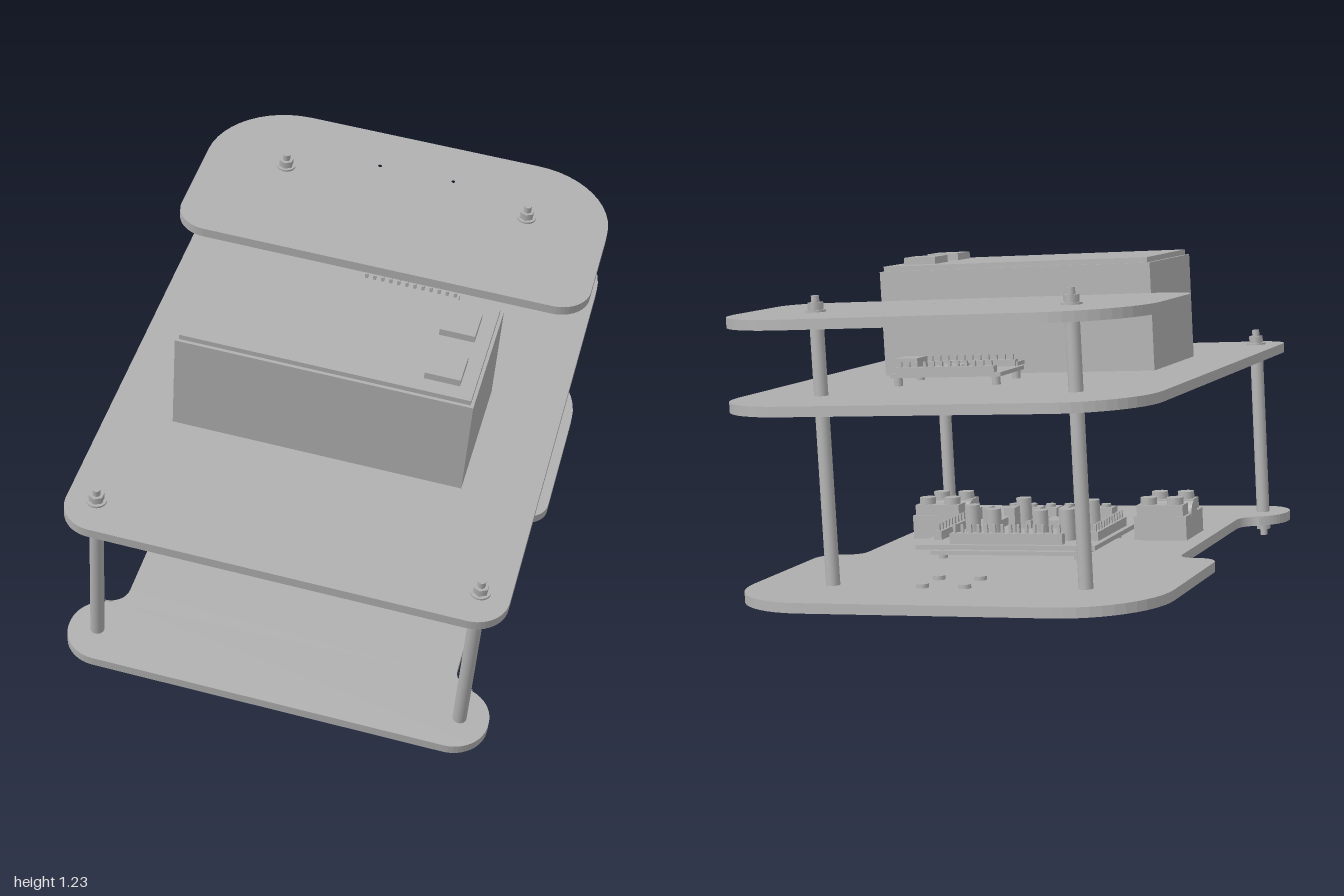
import * as THREE from 'three';
import { mergeGeometries } from 'three/addons/utils/BufferGeometryUtils.js';

const grey = new THREE.MeshStandardMaterial({ color: 0xb0b0b0 });
grey.name = 'light grey';

// Local frame: x across, y along the posts, z toward the front edge
const MID = -0.073, HALF = 0.647;
const DECK = { low: 0.2, mid: 0.757, top: 1.0 }, T = 0.03;

function add(parent, name, geometry, x = 0, y = 0, z = 0) {
  const mesh = new THREE.Mesh(geometry, grey);
  mesh.name = name;
  mesh.position.set(x, y, z);
  parent.add(mesh);
  return mesh;
}

// box or cylinder standing on height y
const box = (p, name, w, h, d, x, y, z) => add(p, name, new THREE.BoxGeometry(w, h, d), x, y + h / 2, z);
const rod = (p, name, r, h, x, y, z, sides = 20) => add(p, name, new THREE.CylinderGeometry(r, r, h, sides), x, y + h / 2, z);

// flat sheet from corners [x, z, radius], with round holes [x, z, radius]
function plate(parent, name, corners, y, holes = []) {
  const shape = new THREE.Shape(), n = corners.length;
  corners.forEach(([x, z, r], i) => {
    const c = new THREE.Vector2(x, -z);
    const to = (j) => new THREE.Vector2(corners[j][0], -corners[j][1]).sub(c).normalize();
    const d0 = to((i + n - 1) % n), d1 = to((i + 1) % n);
    const at = (d, s) => c.clone().addScaledVector(d, s);
    const a = at(d0, r), b = at(d1, r), k = r * 0.448;
    if (i) shape.lineTo(a.x, a.y); else shape.moveTo(a.x, a.y);
    const h0 = at(d0, k), h1 = at(d1, k);
    shape.bezierCurveTo(h0.x, h0.y, h1.x, h1.y, b.x, b.y);
  });
  shape.closePath();
  for (const [x, z, r] of holes) {
    const path = new THREE.Path();
    path.absarc(x, -z, r, 0, Math.PI * 2, true);
    shape.holes.push(path);
  }
  const g = new THREE.ExtrudeGeometry(shape, { depth: T, bevelEnabled: false, curveSegments: 12 });
  g.rotateX(-Math.PI / 2);
  return add(parent, name, g, 0, y, 0);
}

// washer, hex nut and stud end; dir is 1 above a deck or -1 below it
function fastener(parent, name, x, y, z, dir, s = 1) {
  const parts = [[0.03, 0.006, 0, 20], [0.023, 0.022, 0.006, 6], [0.012, 0.02, 0.028, 12]].map(([r, h, o, sides]) => {
    const g = new THREE.CylinderGeometry(r * s, r * s, h * s, sides);
    g.translate(0, dir * (o + h / 2) * s, 0);
    return g;
  });
  return add(parent, name, mergeGeometries(parts), x, y, z);
}

function decks(g) {
  const L = MID - HALF, R = MID + HALF;
  const back = (r) => [[L, -0.98, r], [R, -0.98, r]];
  plate(g, 'topDeck', [...back(0.27), [R, -0.325, 0.1], [L, -0.325, 0.1]], DECK.top,
    [[-0.18, -0.81, 0.006], [0.06, -0.81, 0.006], [-0.142, -0.505, 0.011], [0.026, -0.505, 0.011]]);
  plate(g, 'middleDeck', [...back(0.25), [R, 0.76, 0.1], [L, 0.76, 0.1]], DECK.mid);
  // lower deck with a wheel recess on each side
  const side = [[HALF, -0.22, 0.07], [0.515, -0.22, 0.05], [0.515, 0.53, 0.06], [HALF, 0.53, 0.11], [HALF, 0.76, 0.11]];
  plate(g, 'lowerDeck', [...back(0.27),
    ...side.map(([x, z, r]) => [MID + x, z, r]),
    ...side.map(([x, z, r]) => [MID - x, z, r]).reverse()], DECK.low);
}

function posts(g) {
  const low = DECK.low + T, r = 0.021;
  for (const s of [-1, 1]) {
    const fx = MID + s * 0.56, rx = MID + s * 0.39, fz = 0.646, rz = -0.709;
    rod(g, 'frontPost', r, DECK.mid - low, fx, low, fz);
    rod(g, 'rearLowerPost', r, DECK.mid - low, rx, low, rz);
    rod(g, 'rearUpperPost', r, DECK.top - DECK.mid - T, rx, DECK.mid + T, rz);
    rod(g, 'rearWasher', 0.033, 0.008, rx, DECK.mid - 0.008, rz);
    fastener(g, 'frontTopNut', fx, DECK.mid + T, fz, 1);
    fastener(g, 'rearTopNut', rx, DECK.top + T, rz, 1);
    fastener(g, 'frontBottomNut', fx, DECK.low, fz, -1);
    fastener(g, 'rearBottomNut', rx, DECK.low, rz, -1, 0.7);
    // caster screws
    for (const t of [-1, 1]) {
      fastener(g, 'casterNut', -0.04 + s * 0.065, DECK.low, -0.665 + t * 0.063, -1, 0.55);
      rod(g, 'casterScrewHead', 0.018, 0.012, -0.04 + s * 0.065, low, -0.665 + t * 0.063);
    }
  }
}

function battery(g) {
  const y = DECK.mid + T;
  box(g, 'batteryCase', 0.875, 0.323, 0.43, -0.088, y, 0.055);
  box(g, 'batteryLid', 0.855, 0.016, 0.41, -0.088, y + 0.323, 0.055);
  for (const z of [-0.035, 0.158]) box(g, 'batteryTerminal', 0.105, 0.022, 0.105, 0.244, y + 0.339, z);
}

// motor mount: block, raised saddles, shaft and four through bolts
function motorMount(g, s) {
  const m = new THREE.Group();
  m.name = 'motorMount';
  m.position.set(MID + s * 0.375, DECK.low + T, 0.17);
  g.add(m);
  box(m, 'mountBlock', 0.17, 0.075, 0.19, 0, 0, 0);
  for (const t of [-1, 1]) {
    box(m, 'mountSaddle', 0.15, 0.035, 0.06, 0, 0.075, t * 0.062);
    for (const q of [-1, 1]) {
      rod(m, 'mountBoltHead', 0.026, 0.022, q * 0.043, 0.11, t * 0.062);
      fastener(m, 'mountNut', q * 0.043, -T, t * 0.062, -1, 1.1);
    }
  }
  const shaft = new THREE.CylinderGeometry(0.032, 0.032, 0.172, 20);
  shaft.rotateZ(Math.PI / 2);
  add(m, 'mountShaft', shaft, 0, 0.078, 0);
}

// row of header pins along x or z
function header(g, x, y, z, count, alongX, h = 0.05) {
  const len = count * 0.026;
  box(g, 'headerBody', alongX ? len : 0.026, h * 0.55, alongX ? 0.026 : len, x, y, z);
  for (let i = 0; i < count; i++) {
    const o = (i + 0.5) * 0.026 - len / 2;
    box(g, 'headerPin', 0.009, h, 0.009, x + (alongX ? o : 0), y, z + (alongX ? 0 : o));
  }
}

function controlBoard(g) {
  const y = DECK.low + T + 0.035;
  box(g, 'lowerCircuitBoard', 0.5, 0.012, 0.44, -0.07, y - 0.02, -0.07);
  box(g, 'circuitBoard', 0.58, 0.014, 0.48, -0.07, y, -0.07);
  for (const s of [-1, 1]) for (const z of [-0.26, 0.12]) rod(g, 'boardSpacer', 0.014, 0.036, -0.07 + s * 0.22, y - 0.036, z);
  const top = y + 0.014;
  // tall capacitors
  for (const [x, z] of [[-0.24, -0.2], [-0.16, -0.22], [0.0, -0.2], [0.1, -0.12], [-0.26, -0.02], [-0.02, 0.02]])
    rod(g, 'capacitor', 0.024, 0.095, x, top, z);
  // power chips standing on edge
  for (let i = 0; i < 4; i++) {
    box(g, 'powerChip', 0.022, 0.085, 0.05, -0.2 + i * 0.085, top, -0.1);
    box(g, 'flatChip', 0.055, 0.025, 0.085, -0.22 + i * 0.1, top, 0.04);
  }
  // screw connectors along the front
  for (let i = 0; i < 6; i++) {
    box(g, 'screwConnector', 0.055, 0.05, 0.055, -0.26 + i * 0.062, top, 0.12);
    rod(g, 'connectorScrew', 0.016, 0.01, -0.26 + i * 0.062, top + 0.05, 0.12, 12);
  }
  header(g, -0.07, top, -0.28, 14, true, 0.06);
  header(g, 0.18, top, -0.08, 11, false, 0.05);
  header(g, -0.33, top, -0.08, 11, false, 0.05);
}

function smallBoard(g) {
  const y = DECK.mid + T + 0.025;
  box(g, 'smallCircuitBoard', 0.35, 0.012, 0.2, 0.015, y, -0.395);
  for (const z of [-0.485, -0.305]) header(g, 0.015, y + 0.012, z, 12, true, 0.035);
  for (let i = 0; i < 7; i++) box(g, 'edgePin', 0.012, 0.012, 0.06, -0.14 + i * 0.052, y + 0.012, -0.28);
  box(g, 'mainChip', 0.08, 0.016, 0.08, 0.03, y + 0.012, -0.395);
  box(g, 'cableSocket', 0.07, 0.04, 0.08, 0.16, y + 0.012, -0.395);
  for (const s of [-1, 1]) for (const z of [-0.48, -0.31]) rod(g, 'smallSpacer', 0.013, 0.025, 0.015 + s * 0.155, y - 0.025, z, 12);
}

export function createModel() {
  const model = new THREE.Group();
  model.name = 'roverChassis';
  const chassis = new THREE.Group();
  chassis.name = 'tiltedChassis';
  model.add(chassis);
  decks(chassis);
  posts(chassis);
  battery(chassis);
  motorMount(chassis, -1);
  motorMount(chassis, 1);
  controlBoard(chassis);
  smallBoard(chassis);
  // the whole chassis sits turned and tilted
  const u = new THREE.Vector3(0.949, -0.111, -0.294).normalize();
  const n = new THREE.Vector3(0.138, 0.983, 0.118);
  n.addScaledVector(u, -u.dot(n)).normalize();
  const w = new THREE.Vector3().crossVectors(u, n);
  chassis.quaternion.setFromRotationMatrix(new THREE.Matrix4().makeBasis(u, n, w));
  return model;
}
